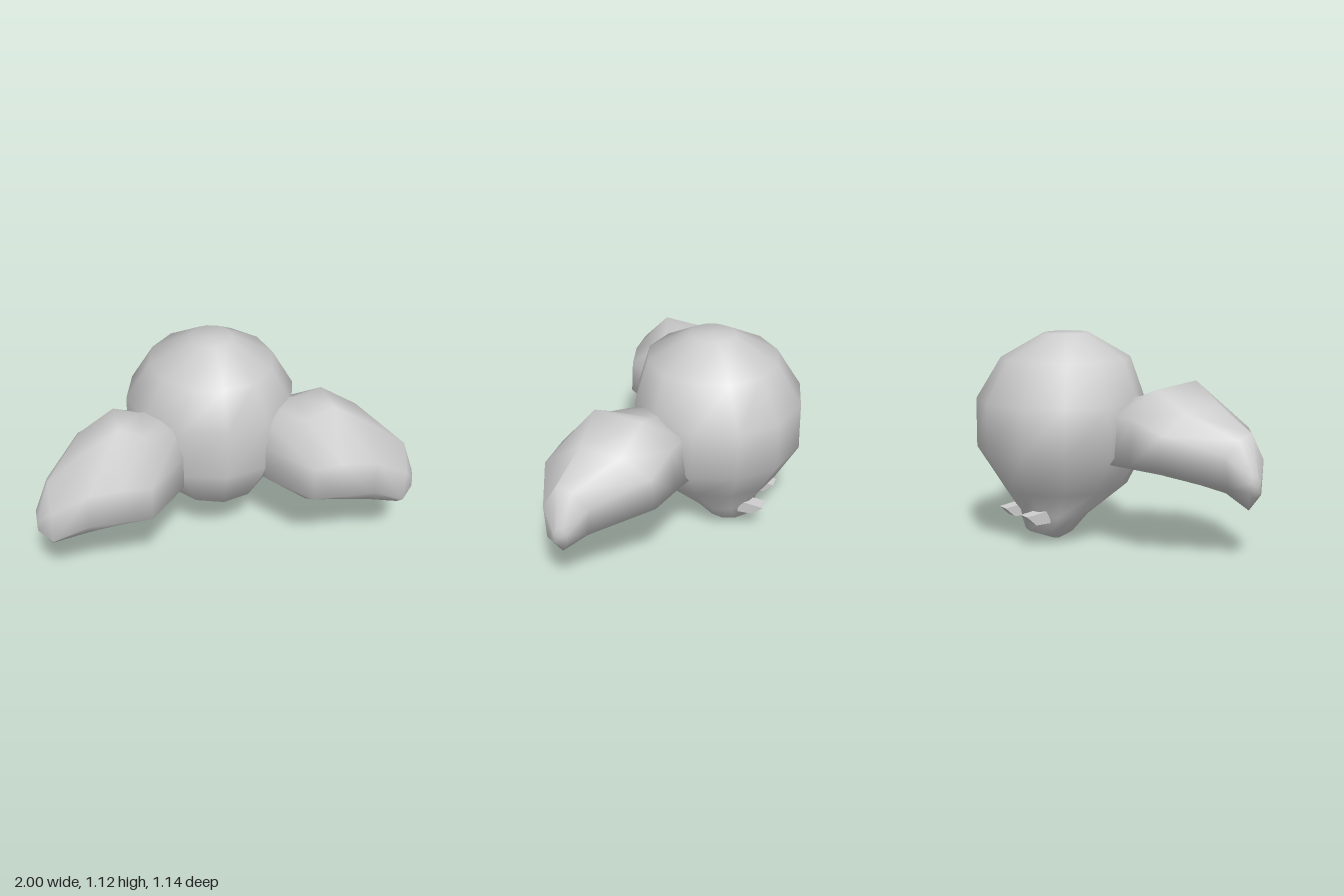
import * as THREE from 'three';

const grey = new THREE.MeshStandardMaterial({ color: 0xcccccc });
grey.name = 'plain grey';

// Skin closed rings of equal length, capped at both ends, smooth shaded
function loft(rings, flip) {
  const n = rings[0].length;
  const pos = [];
  const idx = [];
  const tri = (a, b, c) => (flip ? idx.push(a, c, b) : idx.push(a, b, c));
  rings.forEach((ring) => ring.forEach((p) => pos.push(...p)));
  for (let i = 0; i < rings.length - 1; i++) {
    for (let j = 0; j < n; j++) {
      const k = (j + 1) % n;
      const a = i * n + j, b = i * n + k, c = a + n, d = b + n;
      tri(a, c, b);
      tri(b, c, d);
    }
  }
  [rings[0], rings[rings.length - 1]].forEach((ring, end) => {
    const centre = pos.length / 3;
    const base = end ? (rings.length - 1) * n : 0;
    pos.push(...[0, 1, 2].map((axis) => ring.reduce((s, p) => s + p[axis], 0) / n));
    for (let j = 0; j < n; j++) {
      const a = base + j, b = base + ((j + 1) % n);
      if (end) tri(a, centre, b);
      else tri(a, b, centre);
    }
  });
  const g = new THREE.BufferGeometry();
  g.setAttribute('position', new THREE.Float32BufferAttribute(pos, 3));
  g.setIndex(idx);
  g.computeVertexNormals();
  return g;
}

function part(group, name, geometry) {
  const mesh = new THREE.Mesh(geometry, grey);
  mesh.name = name;
  group.add(mesh);
  return mesh;
}

// Horizontal head rings: y, front z, back z, half width
const HEAD = [
  [1.12, 0.04, -0.21, 0.11],
  [0.99, 0.265, -0.44, 0.335],
  [0.77, 0.33, -0.57, 0.46],
  [0.51, 0.35, -0.57, 0.46],
  [0.29, 0.265, -0.44, 0.29],
  [0.165, 0.02, -0.345, 0.22],
  [0.06, -0.06, -0.32, 0.14],
  [0.005, -0.13, -0.18, 0.03],
];

// Lobe sections at x: seven (z, y) points from top front, over the back, to the front
const LOBE = [
  [0.22, [[0.2, 0.76], [0.05, 0.78], [-0.08, 0.7], [-0.09, 0.47], [0.2, 0.39], [0.29, 0.44], [0.29, 0.62]]],
  [0.42, [[0.33, 0.81], [0.1, 0.81], [-0.06, 0.72], [-0.09, 0.47], [0.38, 0.34], [0.54, 0.45], [0.53, 0.63]]],
  [0.555, [[0.36, 0.89], [0.11, 0.86], [-0.04, 0.72], [-0.06, 0.48], [0.4, 0.33], [0.555, 0.46], [0.555, 0.66]]],
  [0.74, [[0.37, 0.78], [0.15, 0.76], [0, 0.66], [-0.02, 0.49], [0.42, 0.32], [0.57, 0.47], [0.565, 0.65]]],
  [0.93, [[0.42, 0.66], [0.34, 0.63], [0.25, 0.56], [0.27, 0.4], [0.41, 0.27], [0.49, 0.34], [0.5, 0.52]]],
  [1.0, [[0.4, 0.46], [0.37, 0.46], [0.35, 0.43], [0.35, 0.38], [0.38, 0.35], [0.42, 0.37], [0.42, 0.42]]],
];

export function createModel() {
  const model = new THREE.Group();
  model.name = 'model';

  // Round head narrowing downwards to the muzzle
  const headRings = HEAD.map(([y, front, back, w]) =>
    Array.from({ length: 12 }, (_, j) => {
      const a = (j / 12) * Math.PI * 2;
      return [Math.sin(a) * w, y, (front + back) / 2 + (Math.cos(a) * (front - back)) / 2];
    }));
  part(model, 'head', loft(headRings, false));

  // Small wedge outline seen from the side (z, y)
  const wedge = new THREE.Shape(
    [[-0.28, 0.13], [-0.28, 0.2], [-0.42, 0.18], [-0.365, 0.13]].map(([z, y]) => new THREE.Vector2(-z, y)));

  for (const side of [1, -1]) {
    const label = side > 0 ? 'left' : 'right';

    // Large lobe reaching sideways and forwards
    const rings = LOBE.map(([x, points]) => points.map(([z, y]) => [side * x, y, z]));
    part(model, label + 'Lobe', loft(rings, side < 0));

    // Wedge set on the back of the muzzle
    const g = new THREE.ExtrudeGeometry(wedge, { depth: 0.07, bevelEnabled: false });
    g.translate(0, 0, -0.035).rotateY(Math.PI / 2).translate(side * 0.115, 0, 0);
    part(model, label + 'Wedge', g);
  }
  return model;
}
